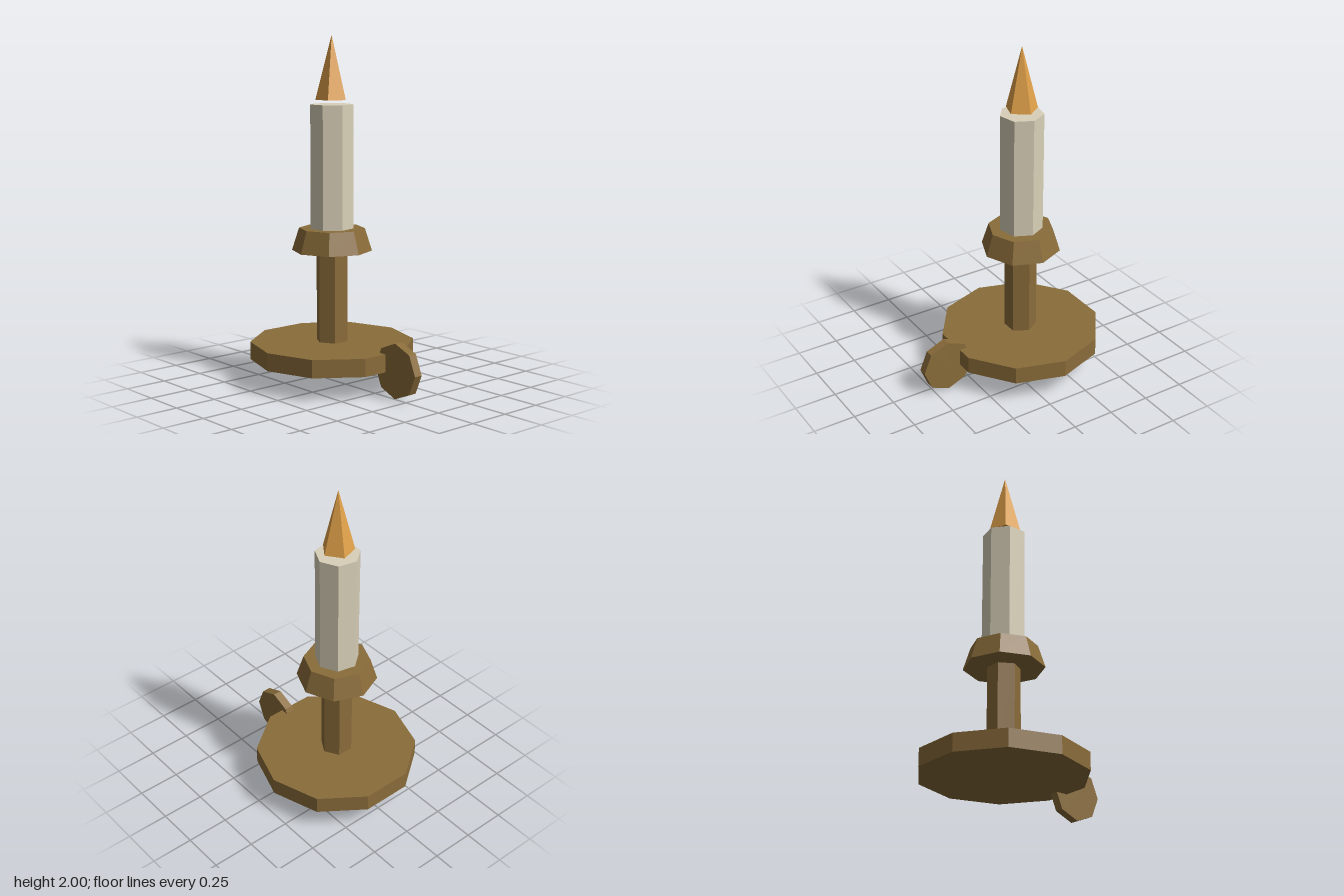
import * as THREE from 'three';

const mat = (name, color) => {
  const m = new THREE.MeshStandardMaterial({ color, flatShading: true });
  m.name = name;
  return m;
};

export function createModel() {
  const wood = mat('brown', 0x8a6c3a);
  const wax = mat('wax', 0xd9d0b8);
  const fire = mat('flame orange', 0xe2a24a);

  const model = new THREE.Group();
  model.name = 'candlestick';

  // Upright parts share one axis
  const stick = new THREE.Group();
  stick.name = 'stick';
  stick.position.x = -0.12;
  model.add(stick);

  const prism = (name, material, topR, bottomR, y0, y1, sides, turn = 0) => {
    const geo = new THREE.CylinderGeometry(topR, bottomR, y1 - y0, sides);
    const mesh = new THREE.Mesh(geo, material);
    mesh.name = name;
    mesh.position.y = (y0 + y1) / 2;
    mesh.rotation.y = turn;
    stick.add(mesh);
  };

  prism('base', wood, 0.475, 0.475, 0.137, 0.24, 10);
  prism('stem', wood, 0.094, 0.094, 0.24, 0.77, 6);
  prism('cup', wood, 0.19, 0.231, 0.77, 0.9, 8);
  prism('candle', wax, 0.126, 0.126, 0.9, 1.61, 7, Math.PI);
  prism('flame', fire, 0, 0.093, 1.635, 2, 5, Math.PI);

  // Upright disc handle set into the rim of the base
  const handle = new THREE.Mesh(new THREE.CylinderGeometry(0.158, 0.158, 0.051, 8), wood);
  handle.name = 'handle';
  handle.rotation.x = Math.PI / 2;
  handle.position.set(0.41, 0.158, -0.027);
  model.add(handle);

  return model;
}
